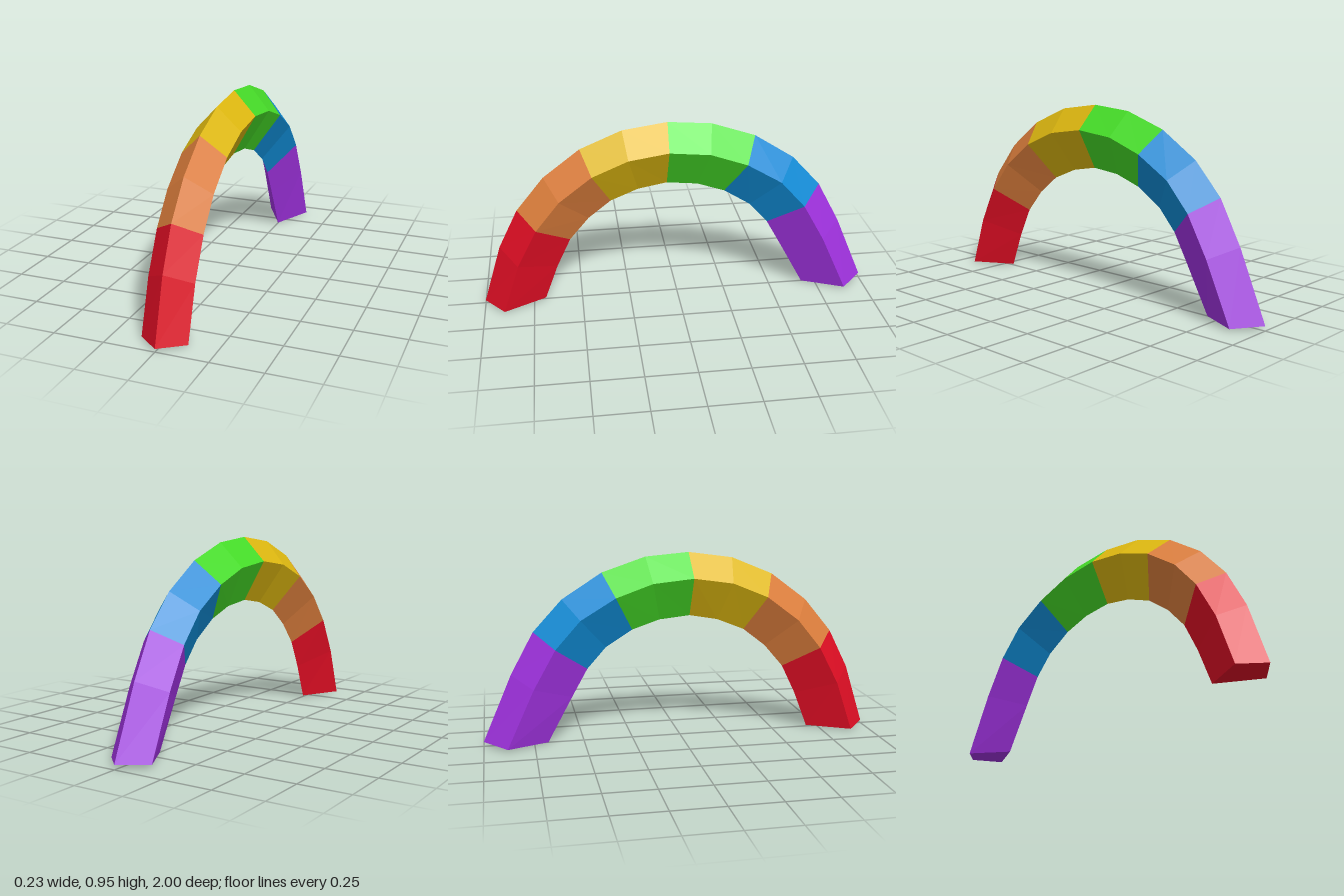
import * as THREE from 'three';

// Arch profile in [z, y], from the front foot over the top to the back foot
const ridge = [[1, 0.015], [0.905, 0.32], [0.805, 0.52], [0.665, 0.69], [0.48, 0.83], [0.27, 0.918], [0.045, 0.95],
  [-0.175, 0.932], [-0.395, 0.858], [-0.595, 0.73], [-0.74, 0.572], [-0.855, 0.36], [-1, 0.023]];
const side = [[0.9, 0.005], [0.815, 0.26], [0.715, 0.452], [0.595, 0.6], [0.43, 0.725], [0.25, 0.8], [0.05, 0.83],
  [-0.155, 0.81], [-0.34, 0.745], [-0.515, 0.64], [-0.64, 0.5], [-0.75, 0.305], [-0.885, 0.01]];
const inner = [[0.69, 0.006], [0.62, 0.19], [0.548, 0.34], [0.45, 0.455], [0.335, 0.545], [0.195, 0.602], [0.05, 0.628],
  [-0.105, 0.612], [-0.245, 0.565], [-0.38, 0.48], [-0.475, 0.373], [-0.555, 0.23], [-0.68, 0]];
const HALF_WIDTH = 0.113;

// Kite-shaped cross-section: outer ridge, left edge, inner ridge, right edge
function section(i) {
  const at = (x, [z, y]) => [x, y, z];
  return [at(0, ridge[i]), at(HALF_WIDTH, side[i]), at(0, inner[i]), at(-HALF_WIDTH, side[i])];
}

// Faceted band between two stations, with closed ends where the arch stops
function bandGeometry(from, to) {
  const positions = [];
  const quad = (a, b, c, d) => positions.push(...a, ...b, ...c, ...a, ...c, ...d);
  for (let i = from; i < to; i++) {
    const s = section(i), t = section(i + 1);
    for (let k = 0; k < 4; k++) {
      const n = (k + 1) % 4;
      quad(s[k], s[n], t[n], t[k]);
    }
  }
  if (from === 0) quad(...section(from).reverse());
  if (to === ridge.length - 1) quad(...section(to));
  const geometry = new THREE.BufferGeometry();
  geometry.setAttribute('position', new THREE.Float32BufferAttribute(positions, 3));
  geometry.computeVertexNormals();
  return geometry;
}

export function createModel() {
  const group = new THREE.Group();
  group.name = 'rainbowArch';

  // Six coloured bands, two facets long each
  const colours = [['red', 0xe00e24], ['orange', 0xdc7e3c], ['yellow', 0xdeb810],
    ['green', 0x46dc28], ['blue', 0x108cd6], ['purple', 0xa032e0]];
  colours.forEach(([name, color], i) => {
    const material = new THREE.MeshStandardMaterial({ color });
    material.name = name;
    const band = new THREE.Mesh(bandGeometry(i * 2, i * 2 + 2), material);
    band.name = name + 'Band';
    group.add(band);
  });
  return group;
}
